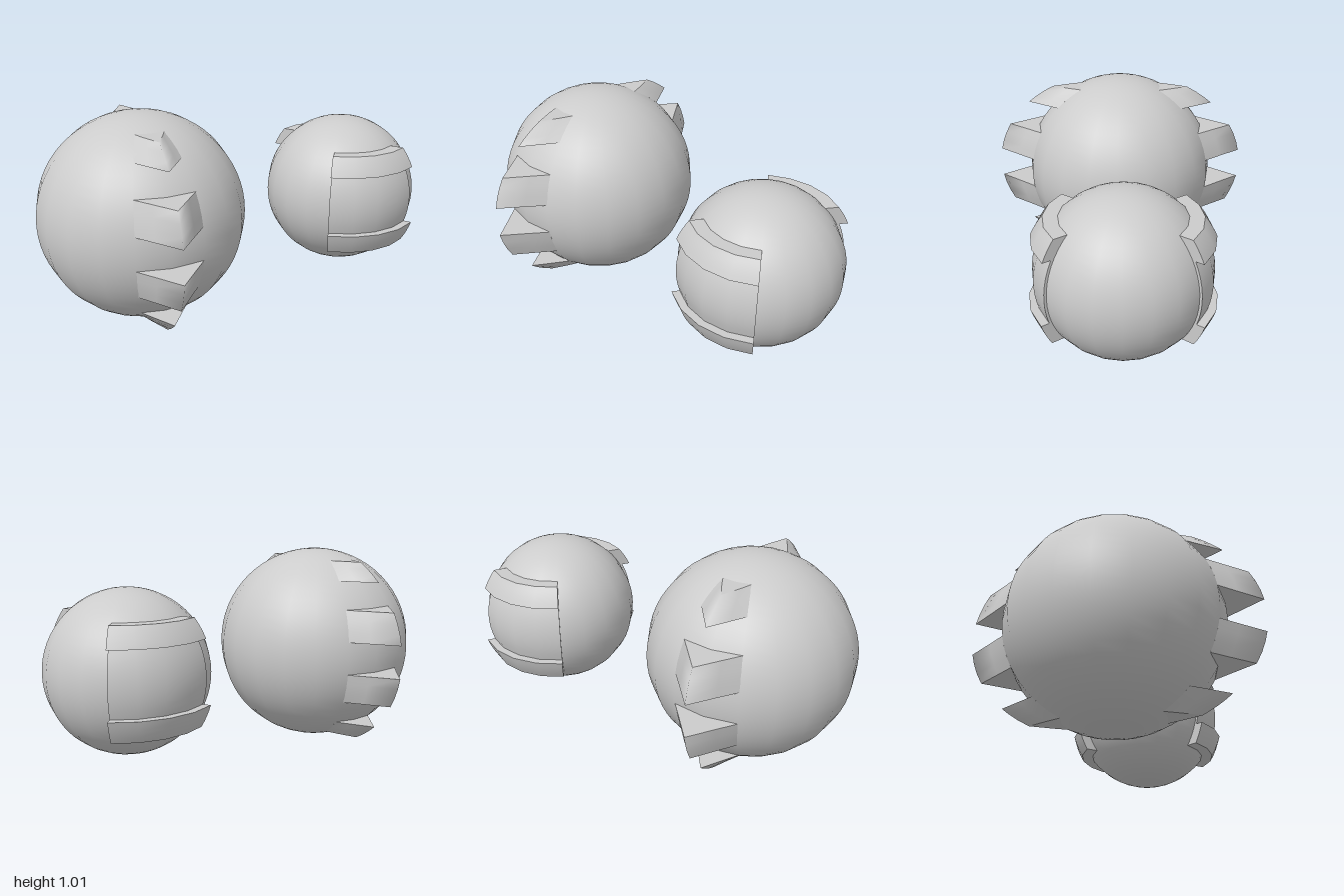
import * as THREE from 'three';
import { mergeGeometries } from 'three/addons/utils/BufferGeometryUtils.js';

const material = new THREE.MeshStandardMaterial({ color: 0xcccccc });
const STEP = Math.PI / 10; // one of the 20 sphere segments

// Smooth quad grid through rows of points
function grid(rows) {
  const n = rows[0].length, index = [];
  for (let i = 0; i < rows.length - 1; i++)
    for (let j = 0; j < n - 1; j++) {
      const a = i * n + j, d = a + n;
      index.push(a, a + 1, d + 1, a, d + 1, d);
    }
  const g = new THREE.BufferGeometry().setFromPoints(rows.flat());
  g.setIndex(index);
  g.computeVertexNormals();
  return g;
}

// Block on the +z side of a sphere, cut by two level planes and two meridians
function block(y0, y1, rows, angles, inner, outer) {
  const out = [], inn = [];
  for (let i = 0; i <= rows; i++) {
    const y = y0 + (y1 - y0) * i / rows;
    const at = (radius) => angles.map((a) => {
      const r = radius(y, a);
      return new THREE.Vector3(r * Math.sin(a), y, r * Math.cos(a));
    });
    out.push(at(outer));
    inn.push(at(inner));
  }
  const last = angles.length - 1;
  return mergeGeometries([
    grid(out),
    grid([out[rows], inn[rows]]),
    grid([inn[0], out[0]]),
    grid(out.map((r, i) => [r[last], inn[i][last]])),
    grid(out.map((r, i) => [inn[i][0], r[0]])),
  ]);
}

// Ball with its blocks repeated on front and back
function ball(name, radius, position, blocks) {
  const group = new THREE.Group();
  group.name = name;
  group.position.set(...position);
  const sphere = new THREE.Mesh(new THREE.SphereGeometry(radius, 20, 32), material);
  sphere.name = name + 'Sphere';
  group.add(sphere);
  for (const [part, geometry] of blocks)
    for (const side of ['front', 'back']) {
      const mesh = new THREE.Mesh(geometry, material);
      mesh.name = side + part;
      if (side === 'back') mesh.rotation.y = Math.PI;
      group.add(mesh);
    }
  return group;
}

const slice = (r) => (y) => Math.sqrt(Math.max(r * r - y * y, 0));

export function createModel() {
  const model = new THREE.Group();
  model.name = 'twoBalls';

  // Large ball with pointed teeth whose tips follow an ellipsoid
  const R = 0.503, surface = slice(R);
  const toothAngles = [-1, -0.5, 0, 0.5, 1].map((k) => k * STEP);
  const toothOuter = (y, a) => {
    const s = surface(y), tip = Math.sqrt(0.457 - 1.58 * y * y);
    const k = Math.abs(a) / STEP;
    return s + (tip - s) * (k > 0.75 ? 0 : k > 0.25 ? 0.38 : 1);
  };
  const toothInner = (y) => surface(y) * 0.93;
  const teeth = [[-0.447, -0.357], [-0.227, -0.077], [0.083, 0.233], [0.363, 0.453]]
    .map(([a, b]) => ['Tooth', block(a, b, 3, toothAngles, toothInner, toothOuter)]);
  model.add(ball('largeBall', R, [-0.497, 0.507, 0], teeth));

  // Small ball with a thin panel between two raised bands
  const r = 0.388;
  const plateAngles = [-2, -1, 0, 1, 2].map((k) => k * STEP);
  const plate = (a, b, rows, outerRadius) =>
    block(a, b, rows, plateAngles, slice(r * 0.96), slice(outerRadius));
  model.add(ball('smallBall', r, [0.61, 0.487, -0.03], [
    ['Panel', plate(-0.123, 0.177, 8, 0.4)],
    ['UpperBand', plate(0.177, 0.27, 4, 0.437)],
    ['LowerBand', plate(-0.23, -0.123, 4, 0.437)],
  ]));
  return model;
}
